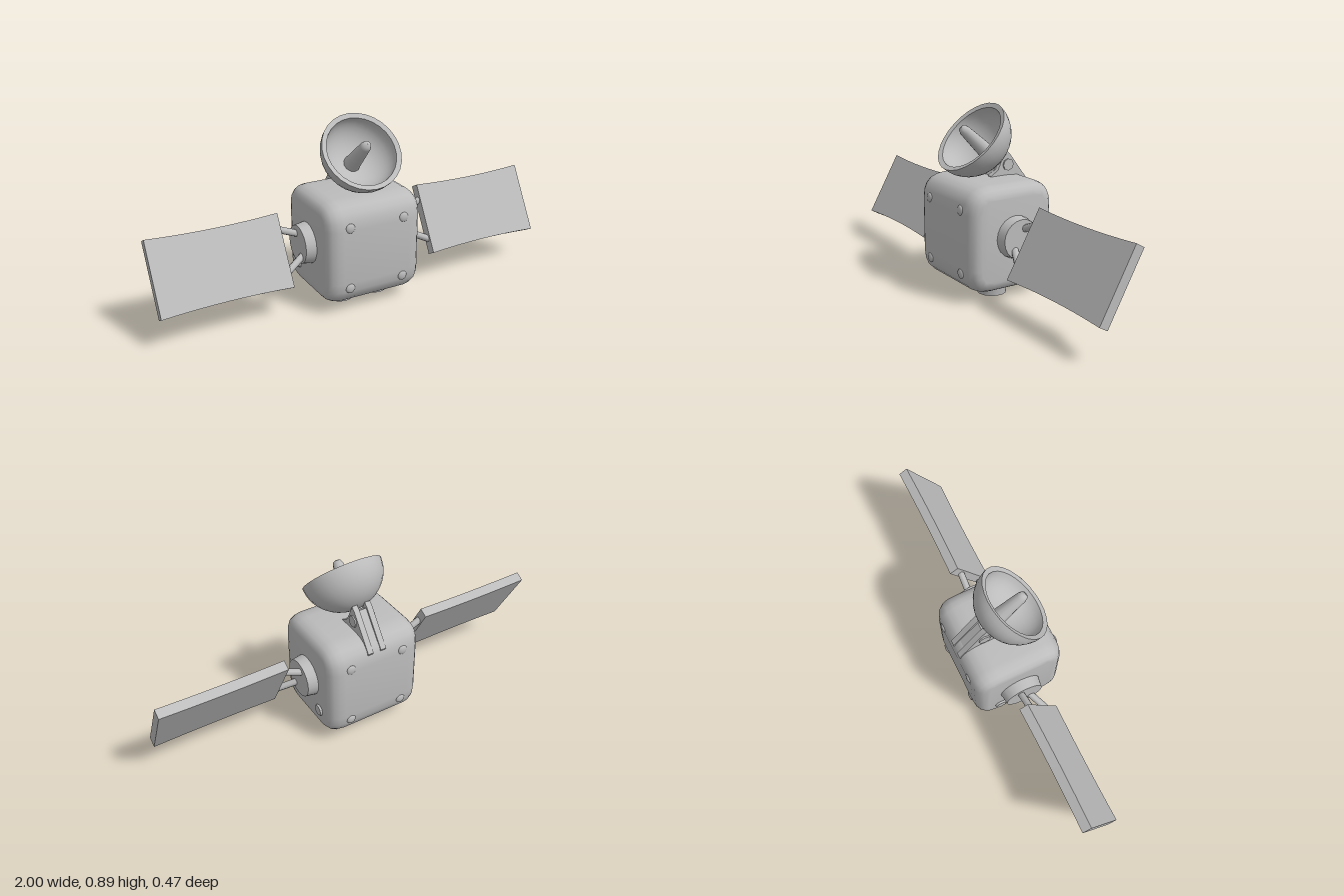
import * as THREE from 'three';
import { toCreasedNormals } from 'three/addons/utils/BufferGeometryUtils.js';

const V = (x, y, z) => new THREE.Vector3(x, y, z);
const points2D = (list) => list.map(([x, y]) => new THREE.Vector2(x, y));

export function createModel() {
  const root = new THREE.Group();
  root.name = 'satellite';
  const grey = new THREE.MeshStandardMaterial({ color: 0xbcbcbc });
  grey.name = 'light grey';

  function add(parent, name, geometry, x = 0, y = 0, z = 0) {
    const mesh = new THREE.Mesh(geometry, grey);
    mesh.name = name;
    mesh.position.set(x, y, z);
    parent.add(mesh);
    return mesh;
  }

  // Extrudes a (z, y) outline along x, centred on x = 0; the bevel is [inset, thickness]
  function extrudeX(shape, width, [inset, thickness] = [0, 0]) {
    const g = new THREE.ExtrudeGeometry(shape, {
      depth: width - 2 * thickness, bevelEnabled: inset > 0, bevelSize: inset,
      bevelThickness: thickness, bevelOffset: -inset, bevelSegments: 4, curveSegments: 5,
    });
    g.translate(0, 0, -width / 2 + thickness);
    g.rotateY(Math.PI / 2);
    return toCreasedNormals(g, 0.6);
  }

  // Cylinder between two points
  function rod(name, a, b, r) {
    const d = b.clone().sub(a);
    const m = add(root, name, new THREE.CylinderGeometry(r, r, d.length(), 8));
    m.position.copy(a).add(b).multiplyScalar(0.5);
    m.quaternion.setFromUnitVectors(V(0, 1, 0), d.normalize());
  }

  // Rounded body
  const w = 0.228, h = 0.251, r = 0.12;
  const outline = new THREE.Shape();
  outline.moveTo(-w + r, -h);
  outline.lineTo(w - r, -h);
  outline.quadraticCurveTo(w, -h, w, -h + r);
  outline.lineTo(w, h - r);
  outline.quadraticCurveTo(w, h, w - r, h);
  outline.lineTo(-w + r, h);
  outline.quadraticCurveTo(-w, h, -w, h - r);
  outline.lineTo(-w, -h + r);
  outline.quadraticCurveTo(-w, -h, -w + r, -h);
  add(root, 'body', extrudeX(outline, 0.49, [0.055, 0.075]), 0, 0.296, 0);

  // Rivets near the corners of the front and back
  for (const x of [-0.14, 0.14]) for (const y of [0.14, 0.44]) for (const z of [-0.225, 0.225]) {
    const rivet = add(root, 'rivet', new THREE.SphereGeometry(0.024, 10, 8), x, y, z);
    rivet.scale.z = 0.4;
  }

  const tilt = -0.51;
  const across = V(0, Math.cos(tilt), Math.sin(tilt));
  for (const s of [-1, 1]) {
    // Foot
    add(root, 'foot', new THREE.CylinderGeometry(0.078, 0.069, 0.08, 14), s * 0.093, 0.04, 0.025);

    // Hub, and a small flat bolt below it
    const hub = add(root, 'sideHub', new THREE.CylinderGeometry(0.093, 0.104, 0.07, 20), s * 0.26, 0.305, -0.005);
    hub.rotation.z = -s * Math.PI / 2;
    const bolt = add(root, 'sideBolt', new THREE.CylinderGeometry(0.027, 0.034, 0.03, 8), s * 0.24, 0.16, -0.108);
    bolt.rotation.z = -s * Math.PI / 2;

    // Struts spreading from hub to panel
    const centre = V(s * 0.395, 0.305, 0.03);
    for (const t of [-1, 1]) {
      const start = V(s * 0.28, 0.305, 0).addScaledVector(across, t * 0.05);
      rod('panelStrut', start, centre.clone().addScaledVector(across, t * 0.105), 0.017);
    }

    // Panel, slightly narrower halfway along
    const g = new THREE.BoxGeometry(0.62, 0.345, 0.048, 8, 1, 1);
    const p = g.attributes.position;
    for (let i = 0; i < p.count; i++) {
      const u = p.getX(i) / 0.31;
      p.setY(i, p.getY(i) * (0.955 + 0.06 * u * u));
    }
    g.computeVertexNormals();
    const panel = add(root, 'solarPanel', g, s * 0.69, 0.305, 0.028);
    panel.rotation.x = tilt;
  }

  // Dish bracket: two side plates, a filler block and a cross pin
  const lug = new THREE.Shape(points2D([[0, 0.52], [0, 0.55], [0.04, 0.575], [0.083, 0.67],
    [0.105, 0.65], [0.225, 0.49], [0.2, 0.44]]));
  for (const x of [-0.034, 0.034]) add(root, 'bracketPlate', extrudeX(lug, 0.028), x, 0, 0);
  const filler = new THREE.Shape(points2D([[0, 0.52], [0.03, 0.57], [0.06, 0.625],
    [0.095, 0.645], [0.215, 0.49], [0.19, 0.45]]));
  add(root, 'bracketFiller', extrudeX(filler, 0.05));
  const pin = add(root, 'bracketPin', new THREE.CylinderGeometry(0.029, 0.029, 0.11, 8), 0, 0.597, -0.095);
  pin.rotation.z = Math.PI / 2;

  // Dish with a feed horn, facing forward and up
  const dish = new THREE.Group();
  dish.name = 'dish';
  dish.position.set(0, 0.743, 0.083);
  dish.rotation.x = 0.82;
  root.add(dish);
  const profile = [];
  for (let i = 0; i <= 10; i++) {
    const a = (i / 10) * Math.PI / 2;
    profile.push(new THREE.Vector2(0.196 * Math.sin(a), -0.181 * Math.cos(a)));
  }
  for (let i = 10; i >= 0; i--) {
    const a = (i / 10) * Math.PI / 2;
    profile.push(new THREE.Vector2(0.172 * Math.sin(a), -0.005 - 0.135 * Math.cos(a)));
  }
  add(dish, 'dishBowl', toCreasedNormals(new THREE.LatheGeometry(profile, 28), 0.7));
  const horn = [[0.043, -0.145], [0.038, -0.11], [0.031, -0.02], [0.026, 0.04], [0.019, 0.06], [0, 0.067]];
  add(dish, 'feedHorn', new THREE.LatheGeometry(points2D(horn), 12));

  return root;
}
